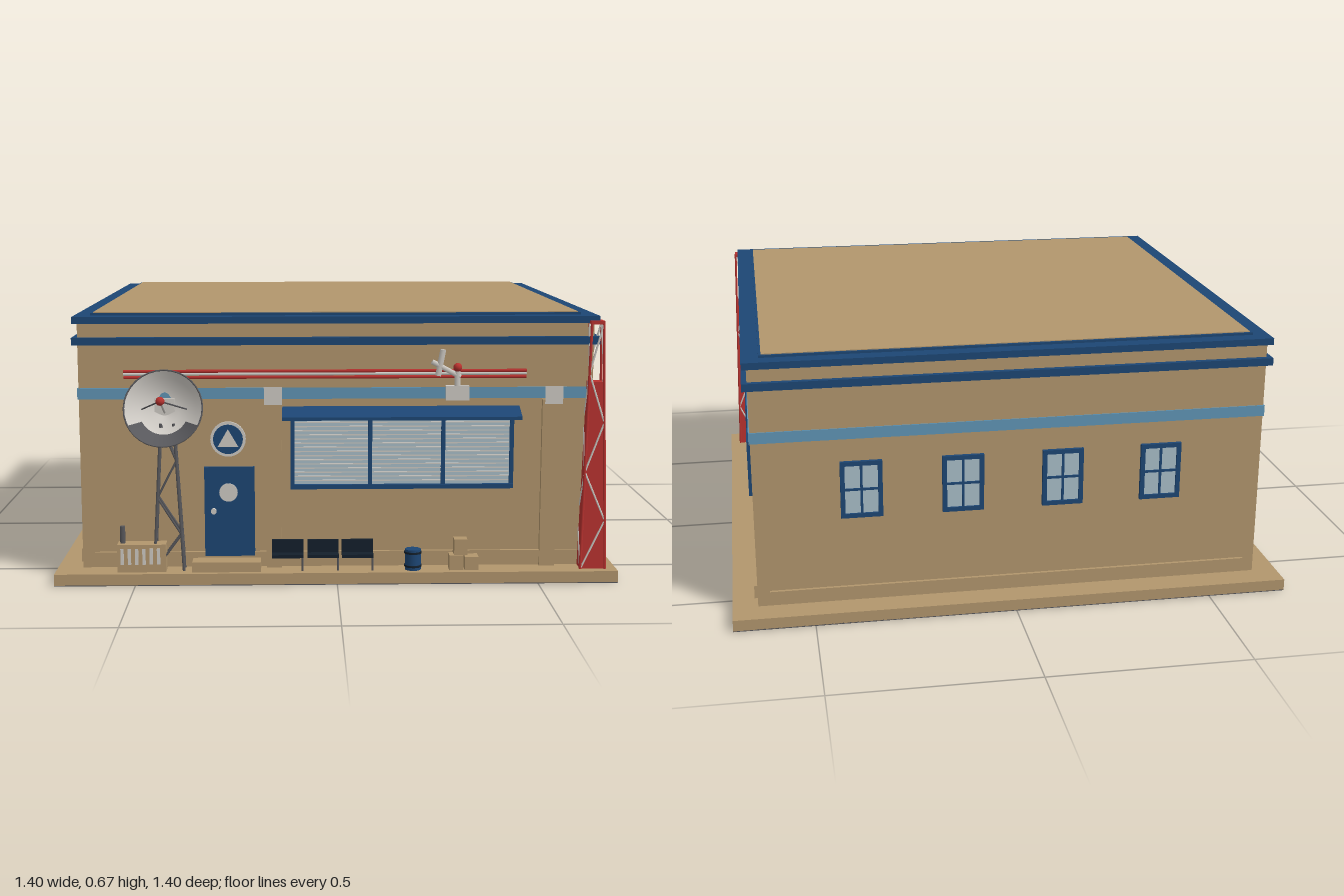
import * as THREE from 'three';

const mat = (name, color, side = THREE.FrontSide) => {
  const m = new THREE.MeshStandardMaterial({ color, side });
  m.name = name;
  return m;
};

export function createModel() {
  const tan = mat('tan plaster', 0xb2966d);
  const navy = mat('navy trim', 0x1d4674);
  const stripeBlue = mat('stripe blue', 0x6095b5);
  const glass = mat('window glass', 0xa9bec8);
  const red = mat('red paint', 0xb8322f);
  const pale = mat('pale metal', 0xcfcbc5, THREE.DoubleSide);
  const dark = mat('dark metal', 0x58585c, THREE.DoubleSide);
  const black = mat('black seat', 0x14202c);

  const model = new THREE.Group();
  model.name = 'stationBuilding';

  const group = (name, parent = model) => {
    const g = new THREE.Group();
    g.name = name;
    parent.add(g);
    return g;
  };
  const add = (parent, name, geometry, material, x = 0, y = 0, z = 0) => {
    const m = new THREE.Mesh(geometry, material);
    m.name = name;
    m.position.set(x, y, z);
    parent.add(m);
    return m;
  };
  // Box given by its limits on each axis
  const box = (parent, name, material, x0, x1, y0, y1, z0, z1) =>
    add(parent, name, new THREE.BoxGeometry(x1 - x0, y1 - y0, z1 - z0), material,
      (x0 + x1) / 2, (y0 + y1) / 2, (z0 + z1) / 2);
  // Slab centred on the building
  const slab = (name, material, hx, hz, y0, y1) => box(model, name, material, -hx, hx, y0, y1, -hz, hz);
  // Round bar between two points
  const rod = (parent, name, material, a, b, r = 0.003) => {
    const p = new THREE.Vector3(...a), d = new THREE.Vector3(...b).sub(p);
    const m = add(parent, name, new THREE.CylinderGeometry(r, r, d.length(), 6), material);
    m.position.copy(p).addScaledVector(d, 0.5);
    m.quaternion.setFromUnitVectors(new THREE.Vector3(0, 1, 0), d.normalize());
    return m;
  };
  // Disc facing forward
  const disc = (parent, name, material, x, y, z, r, depth = 0.006) => {
    const m = add(parent, name, new THREE.CylinderGeometry(r, r, depth, 24), material, x, y, z);
    m.rotation.x = Math.PI / 2;
    return m;
  };
  // Square frustum with flat sides, given by its half widths
  const frustum = (top, bottom, height) => {
    const g = new THREE.CylinderGeometry(top * Math.SQRT2, bottom * Math.SQRT2, height, 4, 1)
      .rotateY(Math.PI / 4).toNonIndexed();
    g.computeVertexNormals();
    return g;
  };

  // Base, with a dark border underneath
  slab('base', tan, 0.7, 0.668, 0.002, 0.03);
  const border = group('undersideBorder');
  for (const s of [-1, 1]) {
    add(border, 'borderSide', new THREE.BoxGeometry(0.075, 0.003, 1.336), dark, s * 0.6625, 0.0015, 0);
    add(border, 'borderEnd', new THREE.BoxGeometry(1.25, 0.003, 0.075), dark, 0, 0.0015, s * 0.6305);
  }

  // Walls, stripe, skirting and stepped roof trim
  slab('walls', tan, 0.637, 0.6, 0.03, 0.65);
  slab('skirtingSides', tan, 0.645, 0.568, 0.037, 0.07);
  slab('skirtingEnds', tan, 0.607, 0.608, 0.037, 0.07);
  slab('stripe', stripeBlue, 0.64, 0.603, 0.457, 0.485);
  slab('lowerTrim', navy, 0.65, 0.614, 0.592, 0.611);
  slab('upperTrim', navy, 0.648, 0.614, 0.645, 0.662);
  slab('roofCurb', navy, 0.607, 0.576, 0.66, 0.668);
  slab('roof', tan, 0.601, 0.57, 0.66, 0.67);

  // Small windows on the sides and the back
  const smallWindow = (parent, offset) => {
    const w = group('smallWindow', parent);
    w.position.set(offset, 0.327, 0);
    box(w, 'pane', glass, -0.045, 0.045, -0.067, 0.067, 0, 0.004);
    for (const s of [-1, 1]) {
      add(w, 'frameSide', new THREE.BoxGeometry(0.011, 0.146, 0.009), navy, s * 0.046, 0, 0.0045);
      add(w, 'frameRail', new THREE.BoxGeometry(0.103, 0.011, 0.009), navy, 0, s * 0.0675, 0.0045);
    }
    box(w, 'mullion', navy, -0.003, 0.003, -0.067, 0.067, 0, 0.007);
    box(w, 'crossbar', navy, -0.045, 0.045, -0.003, 0.003, 0, 0.007);
  };
  for (const [name, x, z, turn] of [['leftWindows', 0.637, 0, Math.PI / 2],
    ['rightWindows', -0.637, 0, -Math.PI / 2], ['backWindows', 0, -0.6, Math.PI]]) {
    const row = group(name);
    row.position.set(x, 0, z);
    row.rotation.y = turn;
    for (const o of [-0.375, -0.125, 0.125, 0.375]) smallWindow(row, o);
  }

  // Door with porthole, round plaque and step
  const door = group('door');
  box(door, 'doorPanel', navy, -0.33, -0.205, 0.06, 0.287, 0.6, 0.61);
  disc(door, 'porthole', pale, -0.27, 0.223, 0.611, 0.023);
  disc(door, 'knob', pale, -0.307, 0.176, 0.614, 0.007, 0.012);
  box(door, 'step', tan, -0.36, -0.19, 0.03, 0.055, 0.6, 0.655);
  disc(door, 'plaqueRim', pale, -0.27, 0.357, 0.604, 0.044, 0.008);
  disc(door, 'plaqueFace', navy, -0.27, 0.357, 0.607, 0.037);
  add(door, 'plaqueTriangle', new THREE.CircleGeometry(0.03, 3, Math.PI / 2), pale, -0.27, 0.353, 0.612);

  // Front window with blinds and a sloping awning
  const front = group('frontWindow');
  box(front, 'pane', glass, -0.11, 0.435, 0.24, 0.41, 0.6, 0.606);
  for (let i = 0; i < 15; i++) {
    const y = 0.25 + i * 0.0105;
    box(front, 'blindSlat', pale, -0.105, 0.43, y, y + 0.003, 0.605, 0.608);
  }
  for (const x of [-0.11, 0.083, 0.265, 0.436]) box(front, 'mullion', navy, x - 0.005, x + 0.005, 0.233, 0.41, 0.6, 0.613);
  box(front, 'sill', navy, -0.115, 0.441, 0.231, 0.242, 0.6, 0.616);
  const awningShape = new THREE.Shape([[0, 0.41], [-0.052, 0.41], [-0.052, 0.418], [0, 0.438]]
    .map(p => new THREE.Vector2(...p)));
  const awning = add(front, 'awning', new THREE.ExtrudeGeometry(awningShape,
    { depth: 0.59, bevelEnabled: false }), navy, -0.135, 0, 0.6);
  awning.rotation.y = Math.PI / 2;

  // Pilasters with square floodlights
  for (const x of [-0.157, 0.53]) {
    const p = group('pilaster');
    box(p, 'shaft', tan, x - 0.019, x + 0.019, 0.03, 0.455, 0.6, 0.613);
    const lamp = add(p, 'floodlight', frustum(0.022, 0.009, 0.06), pale, x, 0.473, 0.633);
    lamp.rotation.x = Math.PI / 2;
  }

  // Bars above the window
  const bars = group('wallBars');
  for (const [name, m, y] of [['upperBar', red, 0.527], ['middleBar', pale, 0.52], ['lowerBar', red, 0.512]])
    rod(bars, name, m, [-0.525, y, 0.606], [0.47, y, 0.606], 0.0042);

  // Small wall aerial
  const aerial = group('wallAerial');
  box(aerial, 'housing', pale, 0.27, 0.328, 0.453, 0.49, 0.6, 0.614);
  rod(aerial, 'mast', pale, [0.298, 0.49, 0.612], [0.298, 0.535, 0.612], 0.008);
  rod(aerial, 'boom', pale, [0.305, 0.512, 0.612], [0.235, 0.55, 0.612], 0.007);
  rod(aerial, 'crossArm', pale, [0.25, 0.515, 0.612], [0.262, 0.58, 0.612], 0.008);
  add(aerial, 'tip', new THREE.SphereGeometry(0.011, 10, 8), red, 0.298, 0.536, 0.616);

  // Four tapering legs with zigzag braces, shared by both towers
  const lattice = (parent, cx, cz, y0, y1, w0, w1, steps, legMat, braceMat, r, depth) => {
    const at = (i, t) => {
      const w = w0 + (w1 - w0) * t;
      return [cx + [-1, 1, 1, -1][i % 4] * w, y0 + (y1 - y0) * t, cz + [1, 1, -1, -1][i % 4] * w * depth];
    };
    for (let i = 0; i < 4; i++) {
      rod(parent, 'leg', legMat, at(i, 0), at(i, 1), r);
      for (let k = 0; k < steps; k++) {
        const s = (k + (i >> 1)) % 2;
        rod(parent, 'brace', braceMat, at(i + s, k / steps), at(i + 1 - s, (k + 1) / steps), r * 0.75);
      }
    }
  };

  // Dish on its tower, tilted upward
  const dishTower = group('dishTower');
  lattice(dishTower, -0.418, 0.622, 0.03, 0.4, 0.037, 0.016, 4, dark, dark, 0.004, 0.45);
  box(dishTower, 'dishMount', pale, -0.45, -0.4, 0.395, 0.46, 0.6, 0.612);
  const dish = group('dish', dishTower);
  dish.position.set(-0.425, 0.424, 0.607);
  dish.rotation.x = Math.PI / 2 - 0.38;
  const bowl = (offset) => [[0, 0], [0.035, 0.007], [0.06, 0.02], [0.08, 0.035], [0.096, 0.05]]
    .map(([r, y]) => new THREE.Vector2(r, y + offset));
  add(dish, 'bowlBack', new THREE.LatheGeometry(bowl(-0.004), 32), dark);
  add(dish, 'bowlFace', new THREE.LatheGeometry(bowl(0.001), 32), pale);
  add(dish, 'lowerLip', new THREE.LatheGeometry(bowl(0.003).slice(2), 20, -1.1, 2.2), dark);
  const rim = add(dish, 'rim', new THREE.TorusGeometry(0.096, 0.002, 6, 32), dark, 0, 0.05, 0);
  rim.rotation.x = Math.PI / 2;
  for (const s of [-1, 1]) rod(dish, 'feedArm', dark, [s * 0.055, 0.018, -0.005], [0, 0.125, 0], 0.002);
  rod(dish, 'feedStem', pale, [0, 0, 0], [0, 0.125, 0], 0.003);
  add(dish, 'feedTip', new THREE.SphereGeometry(0.011, 12, 8), red, 0, 0.125, 0);

  // Red corner tower: solid panels below, open lattice on top
  const tower = group('cornerTower');
  add(tower, 'panels', frustum(0.0185, 0.031, 0.47), red, 0.64, 0.265, 0.613);
  lattice(tower, 0.64, 0.613, 0.03, 0.645, 0.031, 0.0147, 5, red, pale, 0.0035, 1);
  add(tower, 'cap', new THREE.BoxGeometry(0.034, 0.008, 0.034), red, 0.64, 0.647, 0.613);

  // Generator with vents and a pipe
  const generator = group('generator');
  box(generator, 'casing', tan, -0.545, -0.425, 0.03, 0.1, 0.61, 0.65);
  for (let i = 0; i < 6; i++) {
    const x = -0.537 + i * 0.018;
    box(generator, 'vent', pale, x, x + 0.008, 0.05, 0.09, 0.648, 0.653);
  }
  rod(generator, 'pipe', dark, [-0.533, 0.1, 0.63], [-0.533, 0.143, 0.63], 0.007);

  // Row of seats
  const bench = group('seatRow');
  for (const x of [-0.162, -0.074, 0.012]) {
    box(bench, 'backrest', black, x, x + 0.078, 0.068, 0.106, 0.625, 0.633);
    box(bench, 'seat', black, x, x + 0.078, 0.066, 0.074, 0.625, 0.66);
    rod(bench, 'seatLeg', dark, [x + 0.076, 0.03, 0.645], [x + 0.076, 0.068, 0.645], 0.003);
  }

  // Barrel and crates
  const barrel = group('barrel');
  add(barrel, 'drum', new THREE.CylinderGeometry(0.02, 0.02, 0.052, 16), navy, 0.19, 0.056, 0.635);
  for (const y of [0.04, 0.074]) add(barrel, 'hoop', new THREE.CylinderGeometry(0.022, 0.022, 0.005, 16), black, 0.19, y, 0.635);
  const crates = group('crates');
  box(crates, 'crate', tan, 0.28, 0.315, 0.03, 0.068, 0.615, 0.65);
  box(crates, 'crate', tan, 0.319, 0.353, 0.03, 0.064, 0.615, 0.65);
  box(crates, 'crate', tan, 0.292, 0.325, 0.068, 0.108, 0.615, 0.648);

  return model;
}
